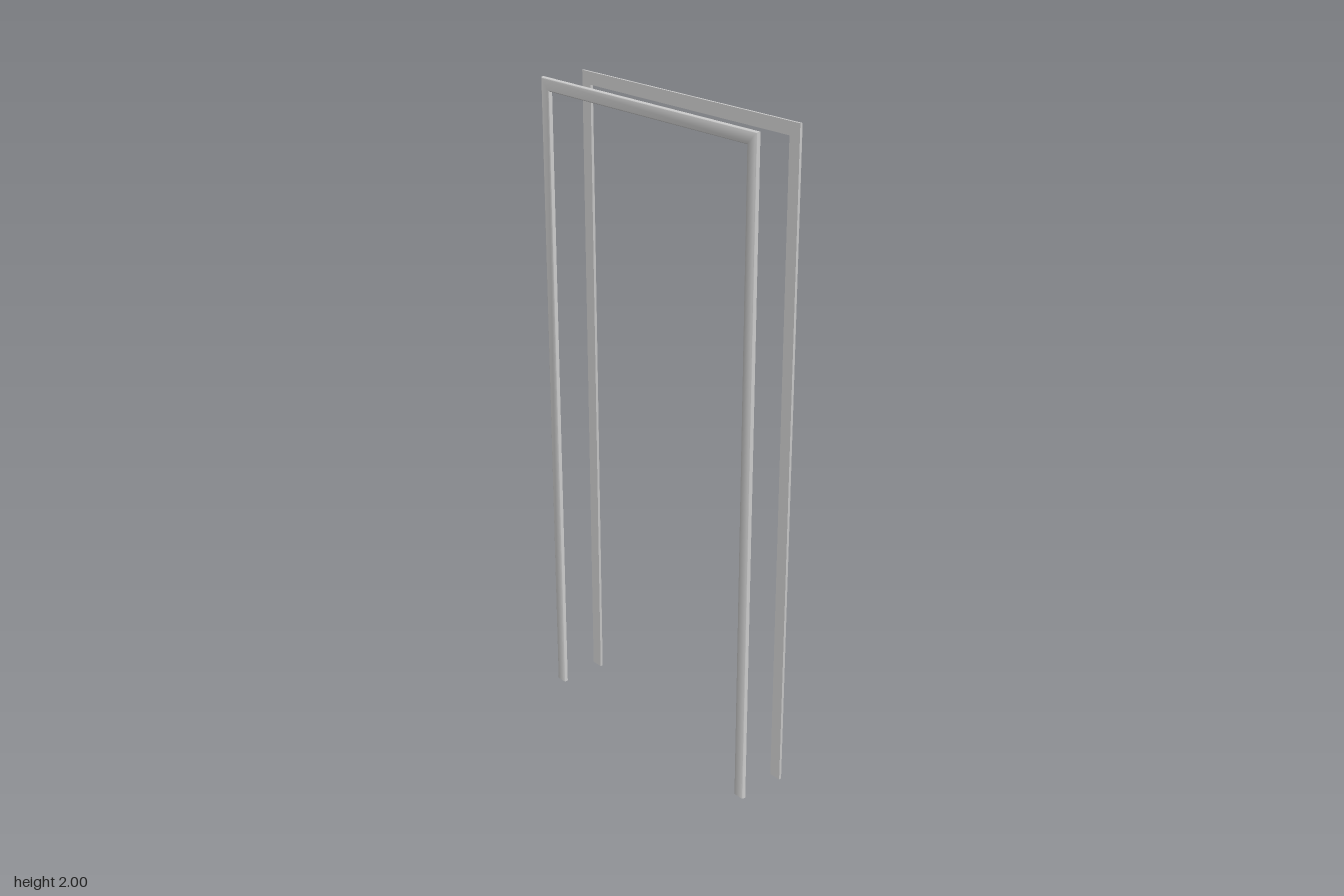
import * as THREE from 'three';
import { toCreasedNormals } from 'three/addons/utils/BufferGeometryUtils.js';

const HALF = 0.45, TOP = 2, WIDTH = 0.038;   // outer half width, height, board width
const INNER_Z = 0.07, DEPTH = 0.012, R = 0.006;  // wall side, board thickness, edge rounding

// Board section: u runs from the outer edge inwards, v from the wall outwards
function boardSection() {
  const pts = [[0, 0]];
  const steps = 5;
  for (let i = 0; i <= steps; i++) {
    const a = (i / steps) * Math.PI / 2;
    pts.push([R - R * Math.cos(a), DEPTH - R + R * Math.sin(a)]);
  }
  for (let i = 0; i <= steps; i++) {
    const a = (i / steps) * Math.PI / 2;
    pts.push([WIDTH - R + R * Math.sin(a), DEPTH - R + R * Math.cos(a)]);
  }
  pts.push([WIDTH, 0]);
  return pts;
}

// Sweeps the section up one leg, across the head and down the other, with mitred corners
function casingGeometry() {
  const section = boardSection(), n = section.length;
  const stations = [[-1, false], [-1, true], [1, true], [1, false]];
  const positions = [], index = [];
  for (const [side, atTop] of stations) {
    for (const [u, v] of section) {
      positions.push(side * (HALF - u), atTop ? TOP - u : 0, INNER_Z + v);
    }
  }
  for (let s = 0; s < stations.length - 1; s++) {
    for (let j = 0; j < n; j++) {
      const k = (j + 1) % n;
      const a = s * n + j, b = s * n + k, c = b + n, d = a + n;
      index.push(a, b, c, a, c, d);
    }
  }
  // Feet
  const last = (stations.length - 1) * n;
  for (let j = 1; j < n - 1; j++) {
    index.push(0, j + 1, j);
    index.push(last, last + j, last + j + 1);
  }
  const geometry = new THREE.BufferGeometry();
  geometry.setAttribute('position', new THREE.Float32BufferAttribute(positions, 3));
  geometry.setIndex(index);
  return toCreasedNormals(geometry, Math.PI / 5);
}

export function createModel() {
  const group = new THREE.Group();
  group.name = 'doorCasing';
  const material = new THREE.MeshStandardMaterial({ color: 0xcccccc });
  const geometry = casingGeometry();

  // One casing on each side of the wall, rounded edges facing outwards
  ['frontCasing', 'backCasing'].forEach((name, i) => {
    const casing = new THREE.Mesh(geometry, material);
    casing.name = name;
    casing.rotation.y = i * Math.PI;
    group.add(casing);
  });
  return group;
}
